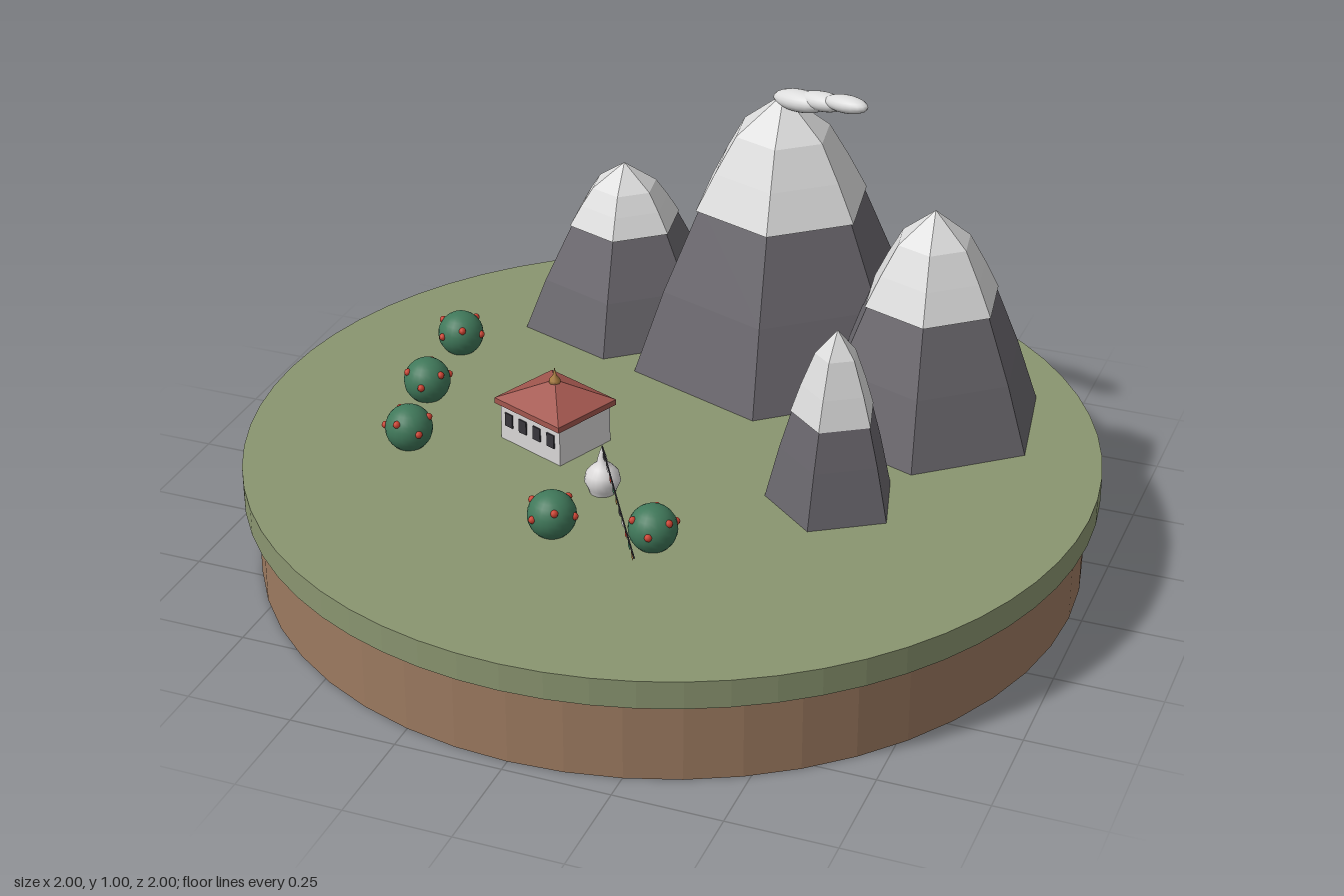
import * as THREE from 'three';

const mat = (name, color) => Object.assign(new THREE.MeshStandardMaterial({ color }), { name });
const M = {
  earth: mat('earth brown', 0x9c7a60), grass: mat('grass green', 0x8a9570),
  rock: mat('rock grey', 0x69666c), snow: mat('snow', 0xdcdcdc),
  wall: mat('plaster white', 0xdad8d8), roof: mat('roof red', 0xa3574f),
  dark: mat('dark', 0x38363c), leaf: mat('leaf green', 0x40785a),
  red: mat('fruit red', 0xc9402f), gold: mat('gold', 0xa87c40),
};
M.dark.side = M.red.side = M.wall.side = M.leaf.side = M.gold.side = THREE.DoubleSide;

const TOP = 0.267; // level of the grass

function add(parent, name, geo, material, x = 0, y = 0, z = 0) {
  const mesh = new THREE.Mesh(geo, material);
  mesh.name = name;
  mesh.position.set(x, y, z);
  parent.add(mesh);
  return mesh;
}

function group(parent, name, x, y, z) {
  const g = new THREE.Group();
  g.name = name;
  g.position.set(x, y, z);
  parent.add(g);
  return g;
}

// Facetted copy of a geometry
function flat(geo) {
  const g = geo.toNonIndexed();
  g.computeVertexNormals();
  return g;
}

// Rounded mountain outline: radius share at height share t
const outline = [[0, 1], [0.3, 0.8], [0.6, 0.565], [0.85, 0.33], [1, 0]];
function radiusAt(t) {
  for (let i = 1; i < outline.length; i++) {
    const [t0, r0] = outline[i - 1], [t1, r1] = outline[i];
    if (t <= t1) return r0 + (r1 - r0) * (t - t0) / (t1 - t0);
  }
  return 0;
}

function mountain(parent, name, x, z, radius, peak, snowLine, sides, turn) {
  const g = group(parent, name, x, TOP, z);
  const h = peak - TOP, ts = (snowLine - TOP) / h;
  const at = (t, k = 1) => new THREE.Vector2(radius * radiusAt(t) * k, h * t);
  const rock = [at(0), at(0.3), at(ts + 0.02)];
  const snow = [at(ts, 0.96), at(ts, 1.03), at(ts + (1 - ts) * 0.33, 1.03), at(0.86, 1.03), at(1)];
  add(g, 'rockSlope', flat(new THREE.LatheGeometry(rock, sides, turn)), M.rock);
  add(g, 'snowCap', flat(new THREE.LatheGeometry(snow, sides, turn)), M.snow);
}

function tree(parent, x, z, turn) {
  const g = group(parent, 'fruitTree', x, TOP + 0.044, z);
  g.rotation.y = turn;
  add(g, 'crown', new THREE.SphereGeometry(0.056, 20, 14), M.leaf);
  for (let i = 0; i < 6; i++) {
    const a = i * Math.PI / 3, up = i % 2 ? 0.55 : 0.12, r = 0.055;
    add(g, 'fruit', new THREE.SphereGeometry(0.009, 8, 6), M.red,
      r * Math.cos(up) * Math.cos(a), r * Math.sin(up), r * Math.cos(up) * Math.sin(a));
  }
}

function house(parent) {
  const g = group(parent, 'house', -0.257, TOP, 0.091);
  g.rotation.y = -0.39;
  add(g, 'walls', new THREE.BoxGeometry(0.195, 0.095, 0.165), M.wall, 0, 0.0475, 0);
  for (let i = 0; i < 4; i++)
    add(g, 'window', new THREE.BoxGeometry(0.024, 0.034, 0.006), M.dark, -0.069 + i * 0.046, 0.057, 0.083);
  add(g, 'eaves', new THREE.BoxGeometry(0.212, 0.014, 0.188), M.roof, 0, 0.101, 0);
  const roof = new THREE.ConeGeometry(Math.SQRT1_2, 1, 4);
  roof.rotateY(Math.PI / 4);
  roof.scale(0.212, 0.05, 0.188);
  add(g, 'roof', flat(roof), M.roof, 0, 0.133, 0);
  const finial = [[0.001, 0], [0.014, 0.004], [0.013, 0.014], [0.005, 0.024], [0, 0.046]];
  add(g, 'finial', new THREE.LatheGeometry(finial.map(p => new THREE.Vector2(...p)), 12), M.gold, 0, 0.145, 0);
}

// White shrine with a string of flags running down to the ground
function shrine(parent) {
  const g = group(parent, 'shrine', -0.064, TOP, 0.273);
  const profile = [[0.03, 0], [0.034, 0.012], [0.042, 0.03], [0.038, 0.05], [0.024, 0.066],
    [0.013, 0.075], [0.01, 0.09], [0, 0.122]];
  add(g, 'dome', new THREE.LatheGeometry(profile.map(p => new THREE.Vector2(...p)), 20), M.wall);
  const rope = new THREE.QuadraticBezierCurve3(new THREE.Vector3(0, 0.117, 0),
    new THREE.Vector3(0.096, 0.068, 0.144), new THREE.Vector3(0.192, 0.03, 0.288));
  add(g, 'flagRope', new THREE.TubeGeometry(rope, 12, 0.002, 5), M.dark);
  const colours = [M.dark, M.wall, M.red, M.leaf, M.gold];
  for (let i = 0; i < 10; i++) {
    const p = rope.getPoint((i + 0.6) / 10.2);
    const flag = add(g, 'flag', new THREE.PlaneGeometry(0.019, 0.019), colours[i % 5], p.x, p.y - 0.009, p.z);
    flag.rotation.y = -Math.atan2(0.288, 0.192);
  }
}

export function createModel() {
  const model = new THREE.Group();
  model.name = 'mountainIsland';

  // Round base
  add(model, 'earthBase', flat(new THREE.CylinderGeometry(0.97, 0.97, 0.2, 48)), M.earth, 0, 0.1, 0);
  add(model, 'grassDisc', flat(new THREE.CylinderGeometry(1, 1, TOP - 0.2, 64)), M.grass, 0, (TOP + 0.2) / 2, 0);

  // Mountains
  mountain(model, 'mainMountain', 0.08, -0.527, 0.377, 0.95, 0.675, 6, 0.17);
  mountain(model, 'leftMountain', 0.521, -0.329, 0.285, 0.807, 0.585, 6, 0.17);
  mountain(model, 'rightMountain', -0.348, -0.572, 0.26, 0.682, 0.53, 6, 0.17);
  mountain(model, 'smallMountain', 0.436, 0.119, 0.155, 0.7, 0.49, 5, -0.055);

  // Cloud trailing from the main peak
  const cloud = group(model, 'cloud', 0, 0, 0);
  for (const [x, y, z, s] of [[0.125, 0.943, -0.515, 1], [0.185, 0.958, -0.497, 0.88], [0.255, 0.975, -0.465, 0.8]]) {
    const puff = add(cloud, 'cloudPuff', new THREE.SphereGeometry(1, 18, 12), M.snow, x, y, z);
    puff.scale.set(0.078 * s, 0.026 * s, 0.034 * s);
    puff.rotation.set(0, -0.36, 0.1);
  }

  house(model);
  shrine(model);
  [[-0.652, -0.24], [-0.626, 0.01], [-0.567, 0.235], [-0.102, 0.476], [0.128, 0.449]]
    .forEach(([x, z], i) => tree(model, x, z, i * 0.7));
  return model;
}
